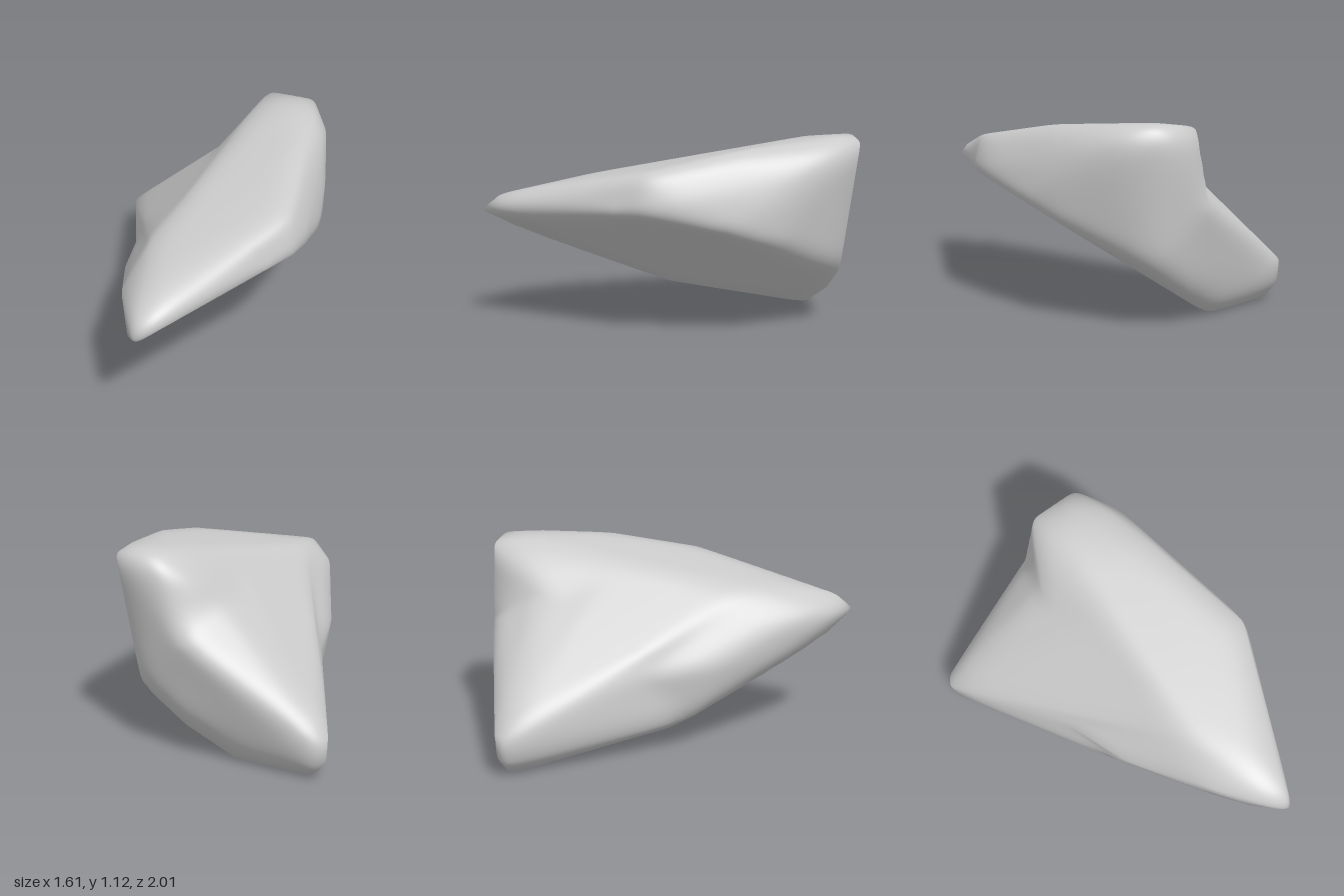
import * as THREE from 'three';
import { mergeVertices } from 'three/addons/utils/BufferGeometryUtils.js';
import { ConvexGeometry } from 'three/addons/geometries/ConvexGeometry.js';

const vectors = (list) => list.map((p) => new THREE.Vector3(...p));

// Corners of the main wedge: crest, front edge, right side, underside, left flank
const wedge = vectors([
  [-0.82, 0.71, 1.03], [-0.74, 0.8, 0.95], [-0.5, 0.875, 0.44], [0.1, 1.0, -0.05], [0.46, 1.1, -0.3],
  [0.62, 1.105, -0.515], [0.7, 1.12, -0.3], [0.815, 1.11, -0.3], [0.68, 1.11, -0.08], [0.45, 1.085, 0.25],
  [0.15, 0.985, 0.685], [0.17, 0.79, 0.735], [0.29, 0.76, 0.635], [0.29, 0.85, 0.62], [0.48, 0.69, 0.425],
  [0.46, 0.85, 0.41], [0.63, 0.59, 0.2], [0.65, 0.82, 0.18], [0.775, 1.02, -0.06], [0.705, 0.38, -0.3],
  [0.65, 0.305, -0.35], [0.5, 0.155, -0.48], [0.3, 0.01, -0.585], [0.2, -0.01, -0.6], [-0.38, 0.13, -0.06],
  [-0.465, 0.195, 0.03], [-0.72, 0.5, 0.66], [-0.78, 0.6, 0.83], [-0.73, 0.72, 0.6], [-0.55, 0.5, 0.1],
  [-0.33, 0.44, -0.28], [0.56, 0.72, -0.58],
]);

// Corners of the lower body that runs from the front edge out to the back spur
const spur = vectors([
  [-0.105, 0.24, -1], [-0.03, 0.24, -1.01], [-0.105, 0.1, -0.99], [-0.03, 0.1, -1], [-0.05, 0, -0.93],
  [0.2, -0.01, -0.6], [0.3, 0.01, -0.585], [0.34, 0.58, -0.7], [0.1, 0.35, -0.9], [0.48, 0.69, -0.6],
  [0.56, 0.69, -0.58], [0.1, 1.0, -0.05], [-0.5, 0.875, 0.44], [0.42, 1.03, -0.28], [-0.33, 0.44, -0.28],
  [-0.38, 0.13, -0.06], [-0.465, 0.195, 0.03], [0.65, 0.305, -0.35], [0.705, 0.38, -0.3],
  [0.15, 0.985, 0.685], [0.17, 0.79, 0.735], [-0.74, 0.8, 0.95],
]);

// Face planes of the convex hull around some points
function hullPlanes(points) {
  const pos = new ConvexGeometry(points).attributes.position;
  const planes = [];
  for (let i = 0; i < pos.count; i += 3) {
    const [a, b, c] = [0, 1, 2].map((k) => new THREE.Vector3().fromBufferAttribute(pos, i + k));
    planes.push(new THREE.Plane().setFromCoplanarPoints(a, b, c));
  }
  return planes;
}

// Distance from an inner centre to the hull surface along a direction
function reach(planes, centre, dir) {
  let r = Infinity;
  for (const p of planes) {
    const slope = p.normal.dot(dir);
    if (slope > 1e-6) r = Math.min(r, -p.distanceToPoint(centre) / slope);
  }
  return r;
}

// Average a vertex attribute over neighbouring triangles
function soften(geo, name, passes) {
  const attr = geo.attributes[name], idx = geo.index;
  const v = new THREE.Vector3();
  for (let pass = 0; pass < passes; pass++) {
    const sum = Array.from({ length: attr.count }, () => new THREE.Vector3());
    const weight = new Float32Array(attr.count);
    for (let i = 0; i < idx.count; i += 3) {
      const tri = [idx.getX(i), idx.getX(i + 1), idx.getX(i + 2)];
      for (const a of tri) {
        for (const b of tri) sum[a].add(v.fromBufferAttribute(attr, b));
        weight[a] += 3;
      }
    }
    sum.forEach((s, i) => {
      s.divideScalar(weight[i]);
      attr.setXYZ(i, s.x, s.y, s.z);
    });
  }
}

export function createModel() {
  const centre = new THREE.Vector3(0, 0.6, 0.03);
  const hulls = [hullPlanes(wedge), hullPlanes(spur)];
  const radius = (dir) => Math.max(...hulls.map((h) => reach(h, centre, dir)));

  // A fine ball, denser towards both ends, pushed out to the union of both hulls
  let geo = new THREE.IcosahedronGeometry(1, 60);
  geo.deleteAttribute('normal');
  geo.deleteAttribute('uv');
  geo = mergeVertices(geo, 1e-4);
  const pos = geo.attributes.position;
  const stretch = new THREE.Vector3(1, 0.75, 1.6);
  const dirs = [];
  for (let i = 0; i < pos.count; i++) {
    const d = new THREE.Vector3().fromBufferAttribute(pos, i).multiply(stretch).normalize();
    dirs.push(d);
    const p = d.clone().multiplyScalar(radius(d)).add(centre);
    pos.setXYZ(i, p.x, p.y, p.z);
  }

  // Keep the outer corners exact
  for (const corner of [...wedge, ...spur]) {
    const d = corner.clone().sub(centre);
    const length = d.length();
    d.normalize();
    if (length < radius(d) - 1e-3) continue;
    let best = 0;
    dirs.forEach((e, i) => { if (e.dot(d) > dirs[best].dot(d)) best = i; });
    pos.setXYZ(best, corner.x, corner.y, corner.z);
  }

  // Wear the edges slightly, then blend the shading across them
  soften(geo, 'position', 2);
  geo.computeVertexNormals();
  soften(geo, 'normal', 50);
  geo.normalizeNormals();

  const rock = new THREE.Mesh(geo, new THREE.MeshStandardMaterial({ color: 0xcccccc }));
  rock.name = 'rock';
  const group = new THREE.Group();
  group.name = 'boulder';
  group.add(rock);
  return group;
}
